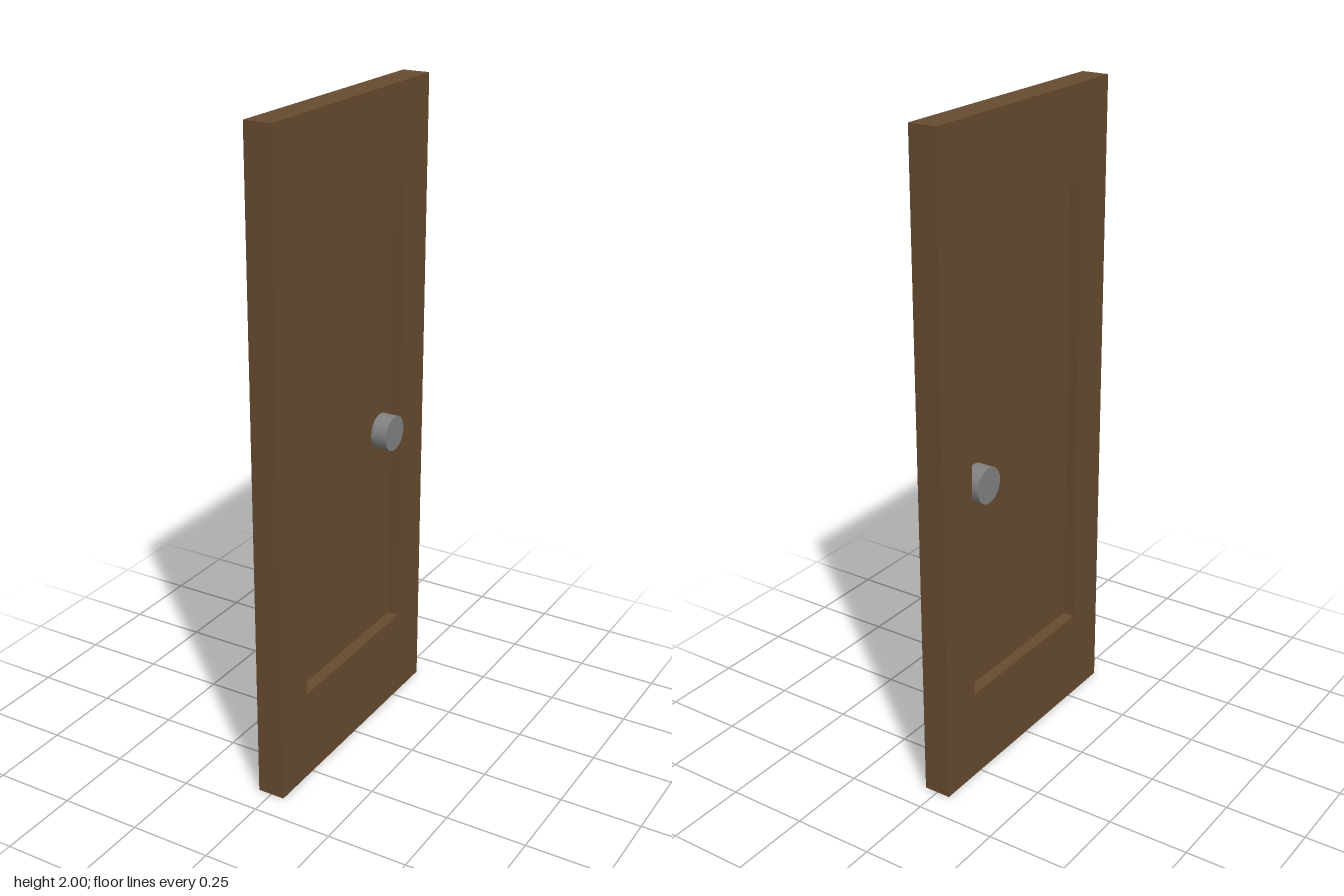
import * as THREE from 'three';

const HEIGHT = 2, WIDTH = 0.83, THICKNESS = 0.085;

function rectangle(PathType, halfWidth, bottom, top) {
  const path = new PathType();
  path.moveTo(-halfWidth, bottom);
  path.lineTo(halfWidth, bottom);
  path.lineTo(halfWidth, top);
  path.lineTo(-halfWidth, top);
  path.closePath();
  return path;
}

export function createModel() {
  const wood = new THREE.MeshStandardMaterial({ color: 0x664a2f });
  wood.name = 'brown wood';
  const metal = new THREE.MeshStandardMaterial({ color: 0x808080 });
  metal.name = 'grey metal';

  const door = new THREE.Group();
  door.name = 'door';
  const add = (name, geometry, material) => {
    const mesh = new THREE.Mesh(geometry, material);
    mesh.name = name;
    door.add(mesh);
    return mesh;
  };

  // Frame around the panel opening, its thickness running along x
  const outline = rectangle(THREE.Shape, WIDTH / 2, 0, HEIGHT);
  outline.holes.push(rectangle(THREE.Path, 0.278, 0.285, 1.72));
  const frame = new THREE.ExtrudeGeometry(outline, { depth: THICKNESS, bevelEnabled: false });
  frame.translate(0, 0, -THICKNESS / 2).rotateY(Math.PI / 2);
  add('frame', frame, wood);

  // Thin panel, recessed on both faces
  add('recessedPanel', new THREE.BoxGeometry(0.01, 1.435, 0.556), wood)
    .position.set(0, 1.0025, 0);

  // A round knob on each face
  for (const side of [1, -1]) {
    const knob = new THREE.CylinderGeometry(0.055, 0.055, 0.053, 24).rotateZ(Math.PI / 2);
    add(side > 0 ? 'leftKnob' : 'rightKnob', knob, metal)
      .position.set(side * 0.0295, 0.947, -0.214);
  }

  return door;
}
